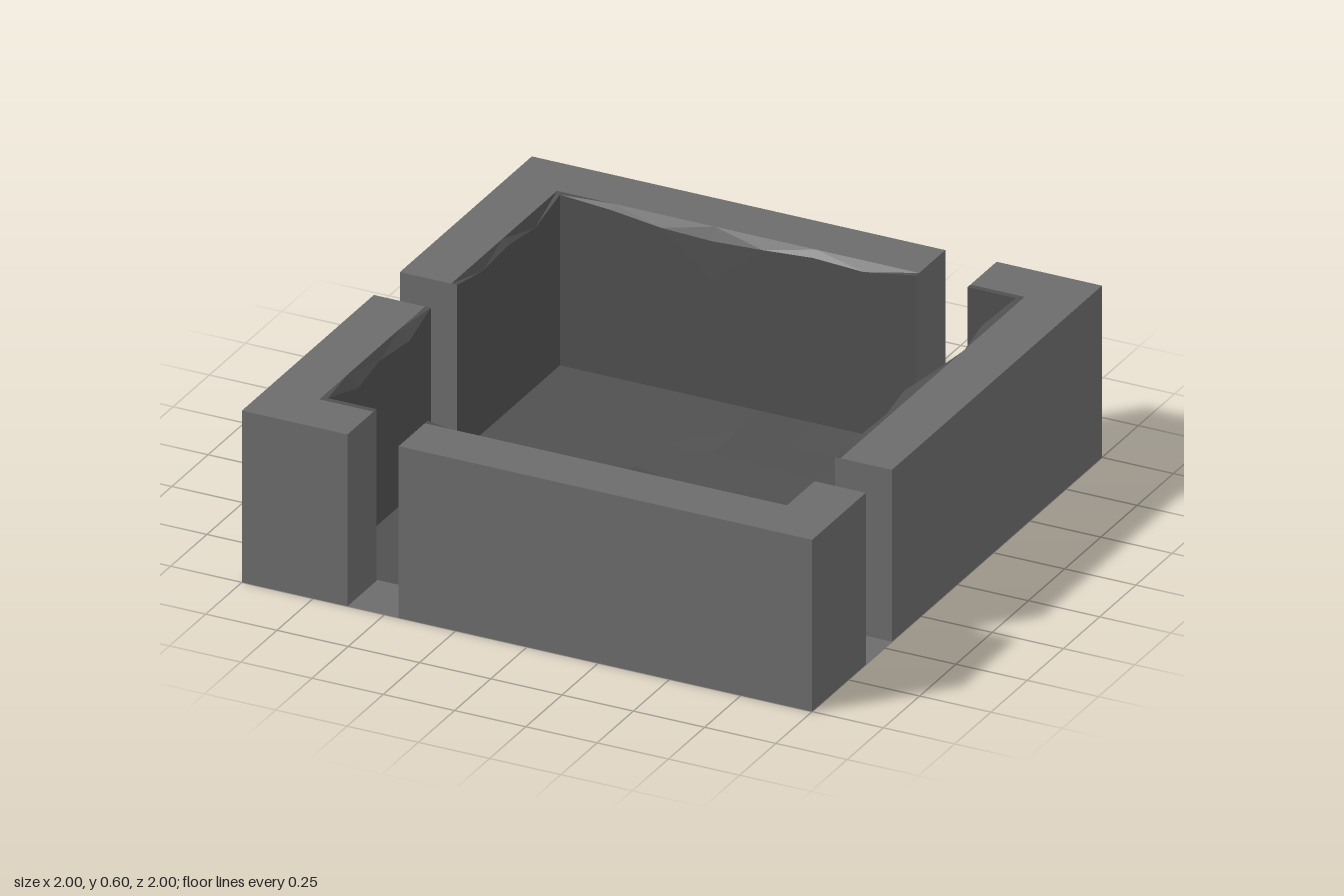
import * as THREE from 'three';

const OUT = 1, IN = 0.8, LIP = 0.82, H = 0.6, N = 9;
const STEP = (2 * IN) / N;
const STONE = 0x6c6c6c, ROCK = 0x505050;

function seeded(seed) {
  let s = seed;
  return () => (s = (s * 16807) % 2147483647) / 2147483647;
}

function material(color) {
  return new THREE.MeshStandardMaterial({ color, flatShading: true, side: THREE.DoubleSide });
}

// Collects counter-clockwise quads into one mesh.
function quadMesh(name, color, quads) {
  const pos = [];
  for (const [a, b, c, d] of quads) pos.push(...a, ...b, ...c, ...a, ...c, ...d);
  const geo = new THREE.BufferGeometry();
  geo.setAttribute('position', new THREE.Float32BufferAttribute(pos, 3));
  geo.computeVertexNormals();
  const mesh = new THREE.Mesh(geo, material(color));
  mesh.name = name;
  return mesh;
}

// Outer face, inner face, flat top and doorway cheeks of one wall; the underside is open.
function wallShell([d0, d1]) {
  const quads = [];
  for (const [a, b, ai, bi] of [[-OUT, d0, -LIP, d0], [d1, OUT, d1, LIP]]) {
    quads.push([[a, 0, OUT], [b, 0, OUT], [b, H, OUT], [a, H, OUT]]);
    quads.push([[bi, 0, LIP], [ai, 0, LIP], [ai, H, LIP], [bi, H, LIP]]);
    quads.push([[a, H, OUT], [b, H, OUT], [bi, H, LIP], [ai, H, LIP]]);
  }
  quads.push([[d0, 0, OUT], [d0, 0, IN], [d0, H, IN], [d0, H, OUT]]);
  quads.push([[d1, 0, IN], [d1, 0, OUT], [d1, H, OUT], [d1, H, IN]]);
  return quadMesh('wallShell', STONE, quads);
}

// Rough rock skin on the room side, bulging inward and dipping at its top.
function rockFace({ gap, door, bumps, amp }, rand) {
  const columns = [];
  for (let i = 0; i <= N; i++) {
    const atDoor = i === gap || i === gap + 1;
    const k = atDoor || i === 0 || i === N ? 0 : 1;
    const u = atDoor ? door[i - gap] : -IN + i * STEP;
    const bulge = k * amp * (bumps.includes(i) ? 1 : 0.4);
    const lipU = i === 0 ? -LIP : i === N ? LIP : u;
    columns.push([
      [u, 0, IN],
      [u, 0.2 + k * (rand() - 0.5) * 0.05, IN - rand() * bulge],
      [u, 0.4 + k * (rand() - 0.5) * 0.05, IN - rand() * bulge],
      [u, H - k * (0.01 + rand() * 0.035), IN - (bumps.includes(i) ? bulge : rand() * bulge * 0.4)],
      [lipU, H, LIP],
    ]);
  }
  const quads = [];
  for (let i = 0; i < N; i++) {
    if (i === gap) continue;
    const p = columns[i], q = columns[i + 1];
    for (let r = 0; r < 4; r++) {
      // Alternate the diagonal for a faceted look
      quads.push((i + r) % 2 ? [q[r], p[r], p[r + 1], q[r + 1]] : [p[r], p[r + 1], q[r + 1], q[r]]);
    }
  }
  return quadMesh('rockFace', ROCK, quads);
}

// Flat threshold carrying the base through the doorway.
function threshold([d0, d1]) {
  return quadMesh('doorwayFloor', STONE, [[[d0, 0, OUT], [d1, 0, OUT], [d1, 0, LIP], [d0, 0, LIP]]]);
}

// Flat plate under the room.
function base() {
  return quadMesh('base', STONE, [[[-LIP, 0, LIP], [LIP, 0, LIP], [LIP, 0, -LIP], [-LIP, 0, -LIP]]]);
}

// Rock floor, level apart from a few low mounds away from its border.
function floor(rand) {
  const geo = new THREE.PlaneGeometry(2 * IN, 2 * IN, N, N).rotateX(-Math.PI / 2);
  const p = geo.attributes.position;
  for (let i = 0; i < p.count; i++) {
    const inside = Math.max(Math.abs(p.getX(i)), Math.abs(p.getZ(i))) < IN - 0.01;
    const mound = inside && p.getX(i) > -0.3 ? Math.max(0, rand() - 0.5) * 0.03 : 0;
    p.setY(i, 0.004 + mound);
  }
  geo.computeVertexNormals();
  const mesh = new THREE.Mesh(geo, material(ROCK));
  mesh.name = 'floor';
  return mesh;
}

export function createModel() {
  const model = new THREE.Group();
  model.name = 'rockRoom';
  const rand = seeded(7);
  model.add(base(), floor(rand));

  // Four walls, each turned a quarter from the one before
  const side = [-0.63, -0.45], middle = [-0.09, 0.09];
  const walls = [
    { name: 'frontWall', gap: 1, door: side, bumps: [4, 6, 8], amp: 0.035 },
    { name: 'leftWall', gap: 1, door: side, bumps: [3, 5, 8], amp: 0.03 },
    { name: 'backWall', gap: 1, door: side, bumps: [], amp: 0.004 },
    { name: 'rightWall', gap: 4, door: middle, bumps: [6, 8], amp: 0.015 },
  ];
  walls.forEach((spec, k) => {
    const wall = new THREE.Group();
    wall.name = spec.name;
    wall.rotation.y = (k * Math.PI) / 2;
    wall.add(wallShell(spec.door), rockFace(spec, rand), threshold(spec.door));
    model.add(wall);
  });
  return model;
}
